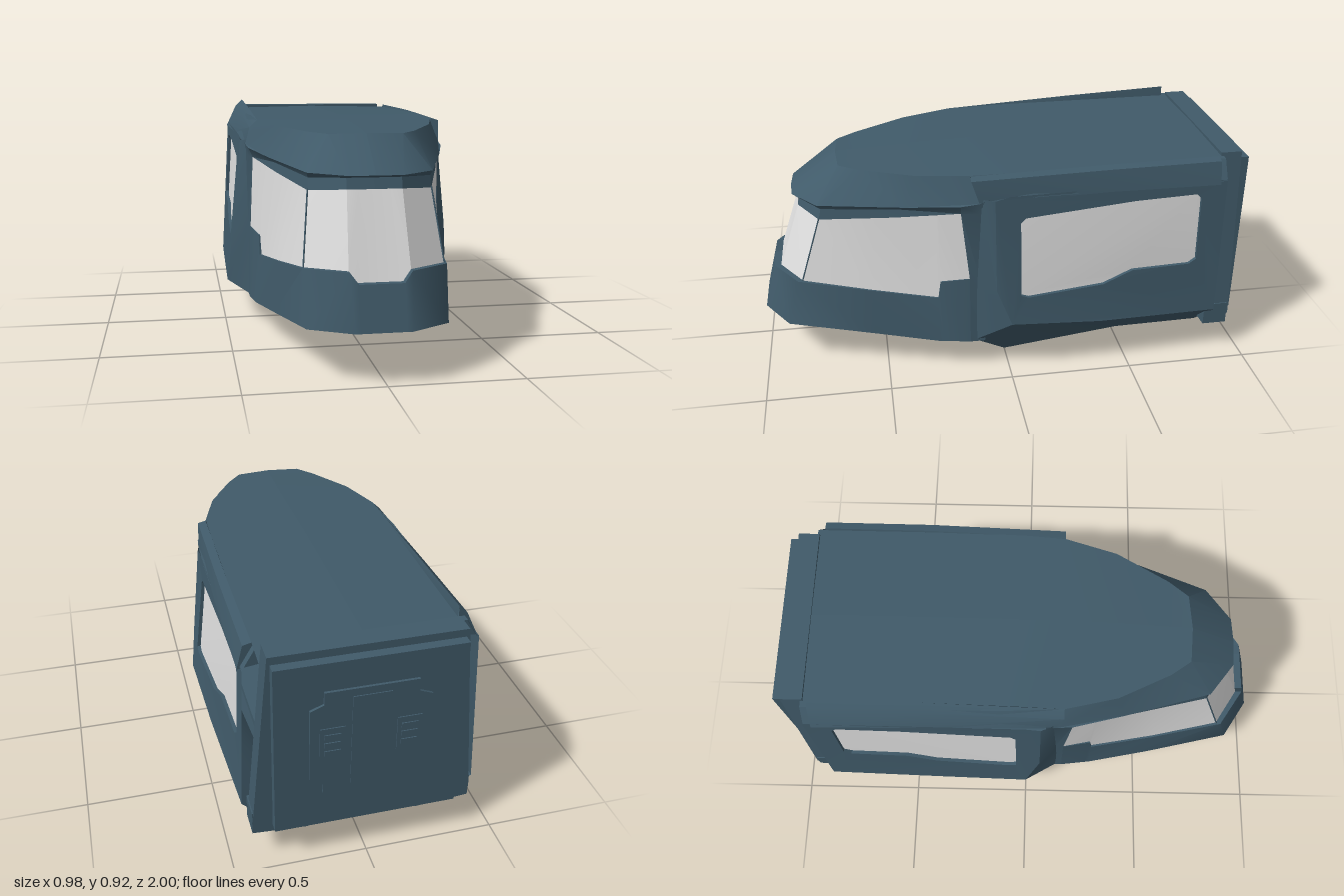
import * as THREE from 'three';
import { toCreasedNormals } from 'three/addons/utils/BufferGeometryUtils.js';

const hull = new THREE.MeshStandardMaterial({ color: 0x405a69, side: THREE.DoubleSide });
hull.name = 'slate blue hull';
const glass = new THREE.MeshStandardMaterial({ color: 0xdedede, side: THREE.DoubleSide });
glass.name = 'pale glass';

// The nose sits slightly towards the right of the centre line
const noseShift = (x, z) => x - .013 * THREE.MathUtils.clamp((z - .25) / .5, 0, 1);

export function createModel() {
  const model = new THREE.Group();

  const add = (name, geometry, material = hull) => {
    const mesh = new THREE.Mesh(geometry, material);
    mesh.name = name;
    model.add(mesh);
    return mesh;
  };
  const box = (name, x0, x1, y0, y1, z0, z1) => {
    const m = add(name, new THREE.BoxGeometry(Math.abs(x1 - x0), y1 - y0, z1 - z0));
    m.position.set((x0 + x1) / 2, (y0 + y1) / 2, (z0 + z1) / 2);
  };
  const toPoints = list => list.map(p => new THREE.Vector2(...p));
  // Flat plate cut to an outline, standing at the rear
  const plate = (name, outline, z, depth) => {
    const g = new THREE.ExtrudeGeometry(new THREE.Shape(toPoints(outline)), { depth, bevelEnabled: false });
    add(name, g).position.z = z;
  };
  // Skin between successive rows of points; s = -1 gives the mirrored side
  const skin = (name, rows, s, material = hull, crease = .45) => {
    const pos = [];
    for (let i = 0; i < rows.length - 1; i++) {
      for (let j = 0; j < rows[i].length - 1; j++) {
        const a = rows[i][j], b = rows[i][j + 1], c = rows[i + 1][j + 1], d = rows[i + 1][j];
        const order = s > 0 ? [a, d, c, a, c, b] : [a, c, d, a, b, c];
        for (const [x, y, z] of order) pos.push(noseShift(s * x, z), y, z);
      }
    }
    const g = new THREE.BufferGeometry();
    g.setAttribute('position', new THREE.Float32BufferAttribute(pos, 3));
    add(name, toCreasedNormals(g, crease), material);
  };

  // Half outlines, running from the front centre round to the rear
  const roofMid = [[0, .845, .66], [0, .845, .655], [0, .853, .55], [0, .865, .35], [0, .875, .15], [0, .882, -.1], [0, .885, -.87]];
  const roofEdge = [[0, .845, .66], [.14, .842, .65], [.2, .845, .57], [.31, .857, .36], [.365, .868, .15], [.38, .875, -.1], [.38, .878, -.87]];
  const visorLow = [[0, .71, .85], [.1, .71, .845], [.23, .713, .745], [.343, .738, .4], [.413, .768, .12], [.425, .787, -.1], [.425, .8, -.87]];
  const recess = [[0, .7, .815], [.1, .7, .812], [.225, .695, .73], [.32, .72, .42], [.405, .757, .19]];
  const windowHead = [[0, .66, .825], [.1, .66, .823], [.227, .65, .74], [.317, .685, .44], [.388, .72, .19]];
  const glassTop = [[0, .66, .825], [.06, .66, .825], [.1, .66, .823], [.227, .65, .74], [.292, .675, .52], [.358, .705, .285], [.361, .707, .275], [.388, .72, .19]];
  const glassLow = [[0, .35, .925], [.08, .35, .925], [.11, .39, .917], [.254, .39, .825], [.315, .36, .55], [.364, .333, .285], [.368, .41, .275], [.398, .43, .16]];
  const sillTop = [[0, .35, .955], [.08, .35, .955], [.11, .39, .945], [.26, .39, .845], [.323, .36, .55], [.372, .333, .285], [.374, .41, .275], [.4, .43, .16]];
  const sillLow = [[0, .19, 1], [.08, .19, 1], [.1, .19, 1], [.254, .187, .9], [.335, .16, .55], [.39, .135, .285], [.392, .135, .27], [.405, .13, .16]];
  const belly = [[0, .158, .88], [.08, .158, .88], [.1, .158, .88], [.21, .158, .8], [.29, .155, .55], [.32, .15, .285], [.32, .15, .27], [.32, .15, .16]];
  const bellyIn = belly.map(([x, , z]) => [x * .92, .2, z * .97]);

  // Rear side window outline as [z, y]
  const pane = [[-.04, .37], [-.04, .68], [-.06, .7], [-.5, .74], [-.75, .75], [-.77, .73], [-.77, .46], [-.74, .44], [-.5, .435], [-.38, .385], [-.07, .36]];

  for (const s of [1, -1]) {
    const left = s > 0;

    // Forward cabin shell
    skin('roof', [roofMid, roofEdge], s);
    skin('visor', [roofEdge, visorLow], s);
    skin('visorUnderside', [visorLow.slice(0, 5), recess, windowHead], s);
    skin('frontWindow', [glassTop.slice(0, 4), glassLow.slice(0, 4)], s, glass);
    skin('cabSideWindow', [glassTop.slice(3), glassLow.slice(3)], s, glass);
    skin('noseSill', [glassLow, sillTop, sillLow, belly, bellyIn, bellyIn.map(p => [0, .2, p[2]])], s, hull, .8);
    skin('doorPillar', [
      [[.405, .757, .19], [.413, .768, .12], [.415, .785, .08]], [[.388, .72, .19], [.4, .72, .12], [.412, .72, .08]],
      [[.4, .43, .16], [.405, .43, .12], [.41, .43, .08]], [[.405, .13, .16], [.405, .13, .12], [.405, .13, .1]],
      [[.3, .2, .16], [.3, .2, .12], [.3, .2, .08]],
    ], s);
    const postEnds = [[.227, .655, .74], [.255, .39, .827]].map(([x, y, z]) => new THREE.Vector3(noseShift(s * x, z), y, z));
    add('windowPost', new THREE.TubeGeometry(new THREE.LineCurve3(...postEnds), 1, .003, 6));

    // Rear side wall, leaning out towards its foot
    const wallX = (z, y) => {
      const t = THREE.MathUtils.clamp(-z / .87, 0, 1);
      const drop = Math.max(0, .79 - y);
      return left
        ? .424 + (drop / .54) ** 1.5 * THREE.MathUtils.lerp(.062, .018, t)
        : .429 + drop / .62 * THREE.MathUtils.lerp(.06, .035, t);
    };
    const foot = left ? [[-.87, .21], [-.37, .22], [0, .25], [.06, .4]] : [[-.87, .15], [-.37, .16], [0, .17], [.06, .4]];
    const outline = [[.06, .78], [0, .795], [-.4, .803], [-.87, .805], ...foot];
    const sheet = (name, points, holes, inset, material) => {
      const shape = new THREE.Shape(toPoints(points));
      shape.holes = holes.map(h => new THREE.Path(toPoints(h)));
      const g = new THREE.ShapeGeometry(shape), p = g.attributes.position, a = g.index.array;
      for (let i = 0; i < p.count; i++) {
        const z = p.getX(i), y = p.getY(i);
        p.setXYZ(i, s * (wallX(z, y) - inset), y, z);
      }
      // Turn the corners so the left sheet faces outward
      if (left) for (let i = 0; i < a.length; i += 3) [a[i], a[i + 1]] = [a[i + 1], a[i]];
      g.computeVertexNormals();
      add(name, g, material);
    };
    sheet('rearSideWall', outline, [pane], 0, hull);
    sheet('rearSideWindow', pane, [], .014, glass);
    const loop = [...pane, pane[0]];
    skin('rearWindowReveal', [0, .014].map(d => loop.map(([z, y]) => [wallX(z, y) - d, y, z])), s);

    // Bevel joining the rear wall to the cabin
    const cabinEdge = [[.41, .785, .11], [.405, .42, .13], [.4, .135, .14]];
    const wallEdge = [[.06, .78], [.06, .4], foot[2]].map(([z, y]) => [wallX(z, y), y, z]);
    skin('wallFrontBevel', cabinEdge.map((p, i) => [p, wallEdge[i]]), s);

    // Lower skirt, deeper on the left side
    const ridge = [[.4, .135, .14], ...[foot[2], foot[1], foot[0]].map(([z, y]) => [wallX(z, y), y, z])];
    skin('lowerSkirt', left ? [
      ridge,
      [[.38, .13, .11], [.29, 0, 0], [.275, .05, -.5], [.275, .055, -.86]],
      [[.28, .18, .1], [.26, .17, 0], [.255, .19, -.5], [.255, .19, -.86]],
    ] : [
      ridge,
      [[.38, .13, .11], [.455, .152, 0], [.44, .145, -.4], [.43, .13, -.86]],
      [[.28, .18, .1], [.3, .14, 0], [.28, .14, -.5], [.26, .14, -.86]],
      [[.27, .2, .1], [.27, .2, 0], [.26, .2, -.5], [.25, .2, -.86]],
    ], s);

    // Slim rail along the roof edge, higher on the right side
    const rail = left
      ? [[.372, .868, .15], [.382, .885, -.4], [.382, .89, -.84]]
      : [[.365, .868, .15], [.36, .9, -.4], [.357, .92, -.84]];
    const railOuter = rail.map(([x, y, z]) => [x + .032, y - (left ? .008 : .03), z]);
    skin('roofRail', [
      rail.map(p => [p[0] - .005, .86, p[2]]), rail, railOuter,
      [[.412, .768, .12], [.43, .79, -.4], [.436, .79, -.84]],
    ], s);
    skin('railEnd', [[rail[2], railOuter[2]], [[.36, .8, -.84], [.436, .79, -.84]]], s);

    // Splayed rear feet
    plate('rearFoot', [[s * .42, .22], [s * .42, .125], [s * .21, .11], [s * .26, .22]], -.94, .1);

    // Underside runners and brackets
    box('floorRunner', s * .21, s * .25, .165, .2, -.84, .5);
    for (const z of [-.65, -.2, .25]) box('runnerBracket', s * .15, s * .2, .165, .19, z - .09, z + .09);
  }

  // Floor and its cross members
  box('rearFloor', -.3, .3, .19, .22, -.87, .18);
  for (const z of [-.8, -.45, -.05, .2, .55]) box('crossMember', -.22, .22, .17, .2, z - .02, z + .02);
  for (const z of [-.62, -.25]) box('floorPanel', -.12, .12, .175, .2, z - .12, z + .12);

  // Rear bulkhead in stepped layers
  plate('rearFrame', [[-.42, .17], [.42, .17], [.355, .892], [-.355, .892]], -.945, .085);
  box('rearPlate', -.345, .345, .155, .862, -.982, -.94);
  plate('rearHatch', [[-.17, .31], [.17, .31], [.17, .35], [.22, .38], [.22, .68], [.17, .7], [.17, .75],
    [-.17, .75], [-.17, .7], [-.22, .68], [-.22, .38], [-.17, .35]], -.992, .012);
  box('hatchSpine', -.07, .07, .34, .72, -.996, -.99);
  for (const s of [1, -1]) {
    box('hatchLatch', s * .095, s * .185, .46, .6, -.996, -.99);
    for (const y of [.495, .53, .565]) box('latchRib', s * .11, s * .17, y - .01, y + .01, -1, -.994);
  }
  return model;
}
